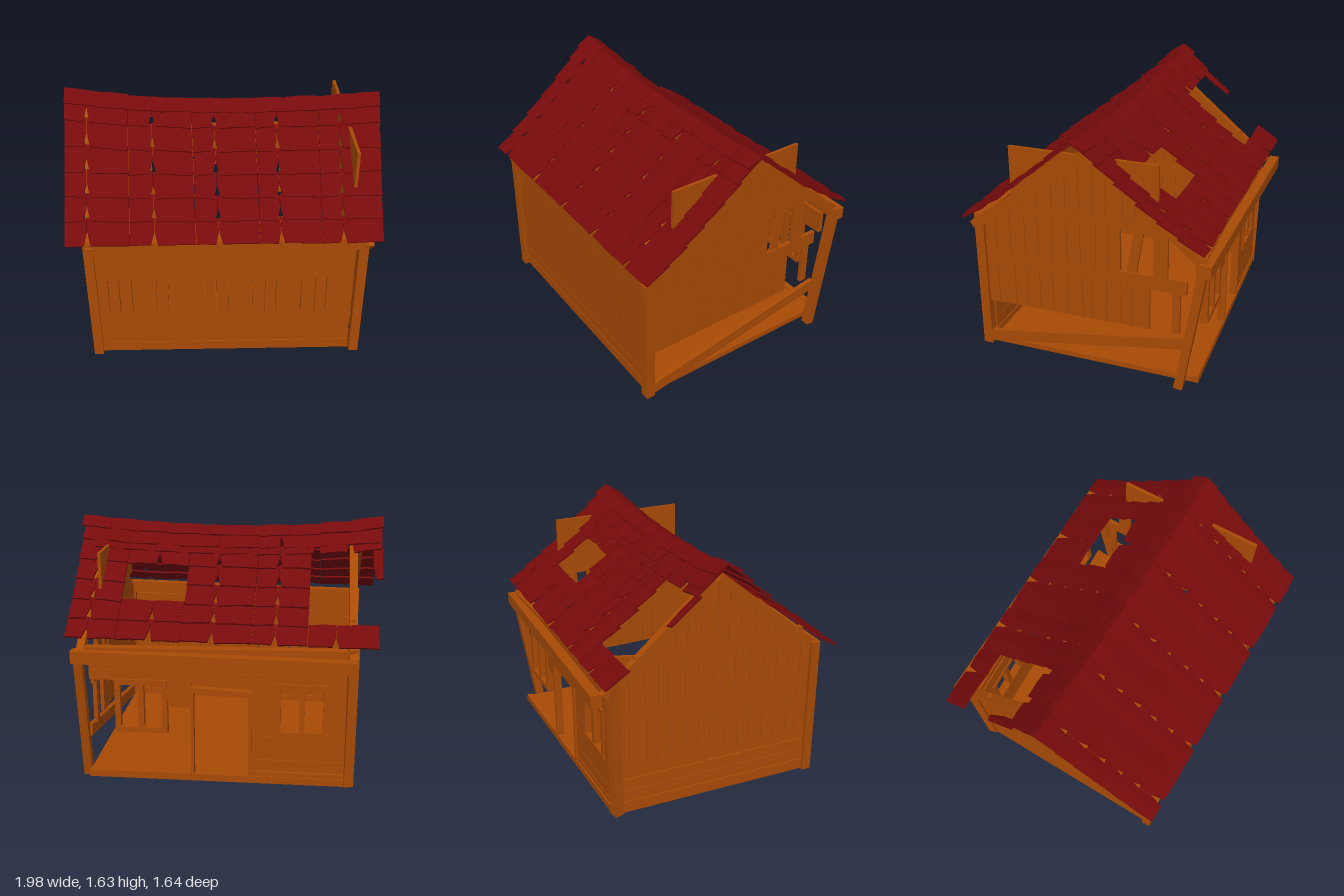
import * as THREE from 'three';

const wood = new THREE.MeshStandardMaterial({ color: 0xa84a05, flatShading: true, side: THREE.DoubleSide });
const red = new THREE.MeshStandardMaterial({ color: 0x760a0b, flatShading: true, side: THREE.DoubleSide });

let seed = 7;
const rnd = () => (seed = (seed * 16807) % 2147483647) / 2147483647;

function add(parent, name, geo, mat = wood) {
  const m = new THREE.Mesh(geo, mat);
  m.name = name;
  parent.add(m);
  return m;
}

function box(parent, name, x0, x1, y0, y1, z0, z1) {
  const m = add(parent, name, new THREE.BoxGeometry(x1 - x0, y1 - y0, z1 - z0));
  m.position.set((x0 + x1) / 2, (y0 + y1) / 2, (z0 + z1) / 2);
}

// Square timber between two points: w across, h in depth
function beam(parent, name, a, b, w, h) {
  const p = new THREE.Vector3(...a), q = new THREE.Vector3(...b);
  const m = add(parent, name, new THREE.BoxGeometry(w, h, p.distanceTo(q)));
  m.position.copy(p).add(q).multiplyScalar(0.5);
  m.lookAt(q);
}

function group(parent, name) {
  const g = new THREE.Group();
  g.name = name;
  parent.add(g);
  return g;
}

// Underside of the roof along a gable wall
const gableY = z => 1.49 - (z > 0 ? 0.76 : 0.84) * Math.abs(z);

// Row of upright planks in a gable wall, cut to the roof line
function gablePlanks(parent, x, y0, y1, z0, z1, n, skip = () => false) {
  const step = (z1 - z0) / n, cuts = [];
  for (let i = 0; i <= n; i++) cuts.push(z0 + i * step + (i % n ? (rnd() - 0.5) * step * 0.4 : 0));
  for (let i = 0; i < n; i++) {
    const a = cuts[i] + 0.0015, b = cuts[i + 1] - 0.0015;
    if (skip((a + b) / 2)) continue;
    const top = z => Math.max(y0 + 0.002, Math.min(y1, gableY(z)));
    const pts = [[a, y0], [b, y0], [b, top(b)]];
    if (a < 0 && b > 0) pts.push([0, top(0)]);
    pts.push([a, top(a)]);
    const shape = new THREE.Shape(pts.map(p => new THREE.Vector2(-p[0], p[1])));
    const m = add(parent, 'gablePlank', new THREE.ExtrudeGeometry(shape, { depth: 0.025, bevelEnabled: false }));
    m.rotation.y = Math.PI / 2;
    m.position.x = x - 0.0125;
  }
}

// Sagging roof surface: side 1 = front, -1 = back; s runs from ridge to eave
function roofPoint(side, x, s, h) {
  const ridge = 1.53 + (x < 0 ? 0.085 : 0.045) * x * x;
  const eaveZ = side > 0 ? 0.735 + 0.035 * x : -0.715 + 0.028 * x;
  const ridgeZ = 0.01 + 0.05 * x;
  const z = ridgeZ + (eaveZ - ridgeZ) * s;
  const y = ridge + (0.975 - ridge) * s - 0.022 * Math.sin(Math.PI * s);
  const skew = side > 0 ? 0.06 * s * Math.max(0, x) : 0.02 * s * x;
  return [x - skew, y + 0.78 * h, z + side * 0.62 * h];
}

// One roof tile; notch = 1 or -1 cuts the lower corner on that side
function tile(parent, side, x0, x1, s0, s1, notch) {
  const g = new THREE.BoxGeometry(1, 1, 1, 2, 1, 4);
  const p = g.attributes.position;
  const lift = rnd() * 0.008, tilt = (rnd() - 0.5) * 0.014;
  for (let i = 0; i < p.count; i++) {
    const a = p.getX(i), v = side * p.getZ(i) + 0.5;
    let x = x0 + (a + 0.5) * (x1 - x0);
    const cut = 0.02 * Math.max(0, (v - 0.5) / 0.5);
    if (a * notch > 0.4) x -= notch * cut;
    const h = 0.008 + v * 0.02 + lift + p.getY(i) * 0.012 + (Math.abs(a) < 0.1 ? 0.005 : 0);
    p.setXYZ(i, ...roofPoint(side, x, s0 + v * (s1 - s0) + tilt * a * 2, h));
  }
  g.computeVertexNormals();
  add(parent, 'roofTile', g, red);
}

function buildRoof(root) {
  const rows = 6;
  const frontEdges = [-0.99, -0.855, -0.6, -0.45, -0.2, -0.06, 0.2, 0.335, 0.6, 0.735, 0.99];
  const backEdges = [-0.97, -0.71, -0.54, -0.34, -0.2, 0.05, 0.245, 0.44, 0.65, 0.84, 0.97];
  for (const side of [1, -1]) {
    const slope = group(root, side > 0 ? 'frontRoof' : 'backRoof');
    const edges = side > 0 ? frontEdges : backEdges;
    for (let r = 0; r < rows; r++) for (let c = 0; c < 10; c++) {
      const hole = side < 0 && ((c < 2 && r > 0 && r < 5) || ((c === 6 || c === 7) && (r === 2 || r === 3)));
      if (hole) continue;
      tile(slope, side, edges[c] + 0.0015, edges[c + 1] - 0.0015, r / rows, (r + 1.18) / rows, c % 2 ? -1 : 1);
    }
  }
  // Loose sliver and the slipped tiles by the ridge
  const loose = group(root, 'looseTiles');
  tile(loose, -1, -0.99, -0.93, 0.23, 0.48, 1);
  for (let i = 0; i < 9; i++) tile(loose, -1, -0.98 + i * 0.215, -0.79 + i * 0.215, 0.04, 0.25, 1);
  // Ridge caps
  for (let i = 0; i < 10; i++) for (const side of [1, -1]) {
    const x = -0.99 + i * 0.198;
    tile(loose, side, x, x + 0.198, -0.01, 0.09, 0);
  }
}

// Window frame with a centre bar in the back wall
function windowFrame(parent, x0, x1, y0, y1) {
  const g = group(parent, 'window'), t = 0.035, za = -0.69, zb = -0.645, m = (x0 + x1) / 2;
  for (const x of [x0, m - t / 2, x1 - t]) box(g, 'windowUpright', x, x + t, y0, y1, za, zb);
  for (const y of [y0, y1 - t]) box(g, 'windowRail', x0, x1, y, y + t, za - 0.004, zb + 0.004);
}

export function createModel() {
  const root = new THREE.Group();
  root.name = 'oldCabin';

  // Floor, out of square like the walls
  const corners = [[-0.85, 0.66], [0.82, 0.73], [0.84, -0.67], [-0.8, -0.67]];
  const outline = new THREE.Shape(corners.map(([x, z]) => new THREE.Vector2(x, -z)));
  const floor = add(root, 'floor', new THREE.ExtrudeGeometry(outline, { depth: 0.035, bevelEnabled: false }));
  floor.rotation.x = -Math.PI / 2;
  floor.position.y = 0.04;

  // Corner posts, one leaning inward at the foot
  const posts = group(root, 'posts');
  beam(posts, 'frontPost', [-0.855, 0.04, 0.67], [-0.86, 0.97, 0.67], 0.06, 0.06);
  beam(posts, 'frontPost', [0.825, 0.04, 0.735], [0.825, 0.97, 0.735], 0.06, 0.06);
  beam(posts, 'backPost', [-0.8, 0.04, -0.66], [-0.805, 0.95, -0.68], 0.06, 0.06);
  beam(posts, 'leaningPost', [0.875, 0.01, -0.575], [0.875, 0.9, -0.715], 0.055, 0.055);

  // Front wall: boards below, upright planks between, boards above
  const front = group(root, 'frontWall');
  front.position.set(0.027, 0, -0.03);
  front.rotation.y = -0.038;
  for (const [a, b] of [[0.045, 0.115], [0.123, 0.198], [0.202, 0.28], [0.281, 0.36], [0.65, 0.765], [0.766, 0.89]])
    box(front, 'wallBoard', -0.84, 0.785, a, b, 0.7, 0.735);
  const cuts = [-0.84, -0.76, -0.69, -0.61, -0.455, -0.38, -0.15, -0.08, 0, 0.15, 0.23, 0.3, 0.46, 0.55, 0.62, 0.79];
  for (let i = 0; i < cuts.length - 1; i++)
    box(front, 'wallPlank', cuts[i] + 0.002, cuts[i + 1] - 0.002, 0.36, 0.65, 0.7, 0.735);
  beam(front, 'topBeam', [-0.87, 0.925, 0.735], [0.85, 0.94, 0.735], 0.07, 0.08);

  // Back wall: boards around the door and two windows, torn open at one end
  const back = group(root, 'backWall');
  const board = (x0, x1, y0, y1) => box(back, 'wallBoard', x0, x1, y0, y1, -0.68, -0.65);
  for (const [a, b] of [[0.045, 0.115], [0.123, 0.198], [0.202, 0.28], [0.281, 0.36]]) board(-0.79, -0.19, a, b);
  for (let i = 0; i < 4; i++) {
    const a = 0.362 + i * 0.085, b = a + 0.083;
    board(-0.79, -0.67, a, b);
    board(-0.34, -0.19, a, b);
    if (i > 1) board(0.18, 0.33, a, b);
  }
  board(-0.79, 0.82, 0.7, 0.765);
  board(-0.79, 0.82, 0.767, 0.85);
  windowFrame(back, -0.67, -0.34, 0.36, 0.71);
  windowFrame(back, 0.33, 0.66, 0.36, 0.71);
  for (const x of [-0.195, 0.165]) box(back, 'doorJamb', x, x + 0.02, 0.06, 0.64, -0.695, -0.645);
  beam(back, 'doorHead', [-0.2, 0.635, -0.67], [0.19, 0.655, -0.67], 0.05, 0.03);
  box(back, 'sill', -0.8, 0.84, 0.04, 0.085, -0.69, -0.65);
  beam(back, 'fallenTopBeam', [-0.83, 0.865, -0.79], [0.91, 0.865, -0.73], 0.065, 0.08);
  beam(back, 'wallPlate', [-0.81, 0.91, -0.68], [0.88, 0.89, -0.69], 0.06, 0.06);

  // Closed gable end
  const left = group(root, 'closedGable');
  left.position.x = -0.825;
  left.rotation.y = -0.042;
  for (const [a, b] of [[0.045, 0.115], [0.123, 0.198], [0.202, 0.278], [0.285, 0.36]])
    box(left, 'wallBoard', -0.015, 0.015, a, b, -0.65, 0.66);
  gablePlanks(left, 0, 0.36, 0.65, -0.65, 0.66, 15);
  gablePlanks(left, 0, 0.73, 1.02, -0.66, 0.66, 15);
  gablePlanks(left, 0, 1.08, 1.5, -0.47, 0.52, 11);
  box(left, 'rail', -0.012, 0.018, 0.645, 0.735, -0.65, 0.66);
  box(left, 'rail', -0.012, 0.018, 1.015, 1.085, -0.54, 0.58);

  // Broken gable end, open below
  const right = group(root, 'brokenGable');
  gablePlanks(right, 0.82, 0.36, 0.65, -0.37, 0.71, 12);
  gablePlanks(right, 0.82, 0.73, 1.02, -0.66, 0.72, 15, z => (z < -0.2 && z > -0.36) || z < -0.5);
  gablePlanks(right, 0.82, 1.08, 1.5, -0.47, 0.52, 11);
  box(right, 'rail', 0.807, 0.833, 0.645, 0.735, -0.6, 0.71);
  box(right, 'rail', 0.807, 0.833, 1.015, 1.085, -0.54, 0.58);
  box(right, 'innerBoarding', 0.78, 0.8, 1.09, 1.44, -0.41, 0.53);
  beam(right, 'loosePlank', [0.815, 0.72, -0.25], [0.815, 1.03, -0.3], 0.02, 0.06);
  box(right, 'loosePlank', 0.805, 0.83, 0.36, 0.65, -0.56, -0.51);
  beam(right, 'fallenBrace', [0.84, 0.1, 0.71], [0.85, 0.32, -0.6], 0.03, 0.075);

  // Rafters at both gable ends
  const rafters = group(root, 'rafters');
  for (const [xFront, xBack, zFront] of [[-0.845, -0.805, 0.7], [0.855, 0.855, 0.765]]) {
    beam(rafters, 'rafter', [xFront, 1.505, -0.02], [xFront, 0.91, zFront], 0.05, 0.06);
    beam(rafters, 'rafter', [xBack, 1.505, 0.02], [xBack, 0.87, -0.73], 0.05, 0.06);
  }

  buildRoof(root);
  return root;
}
